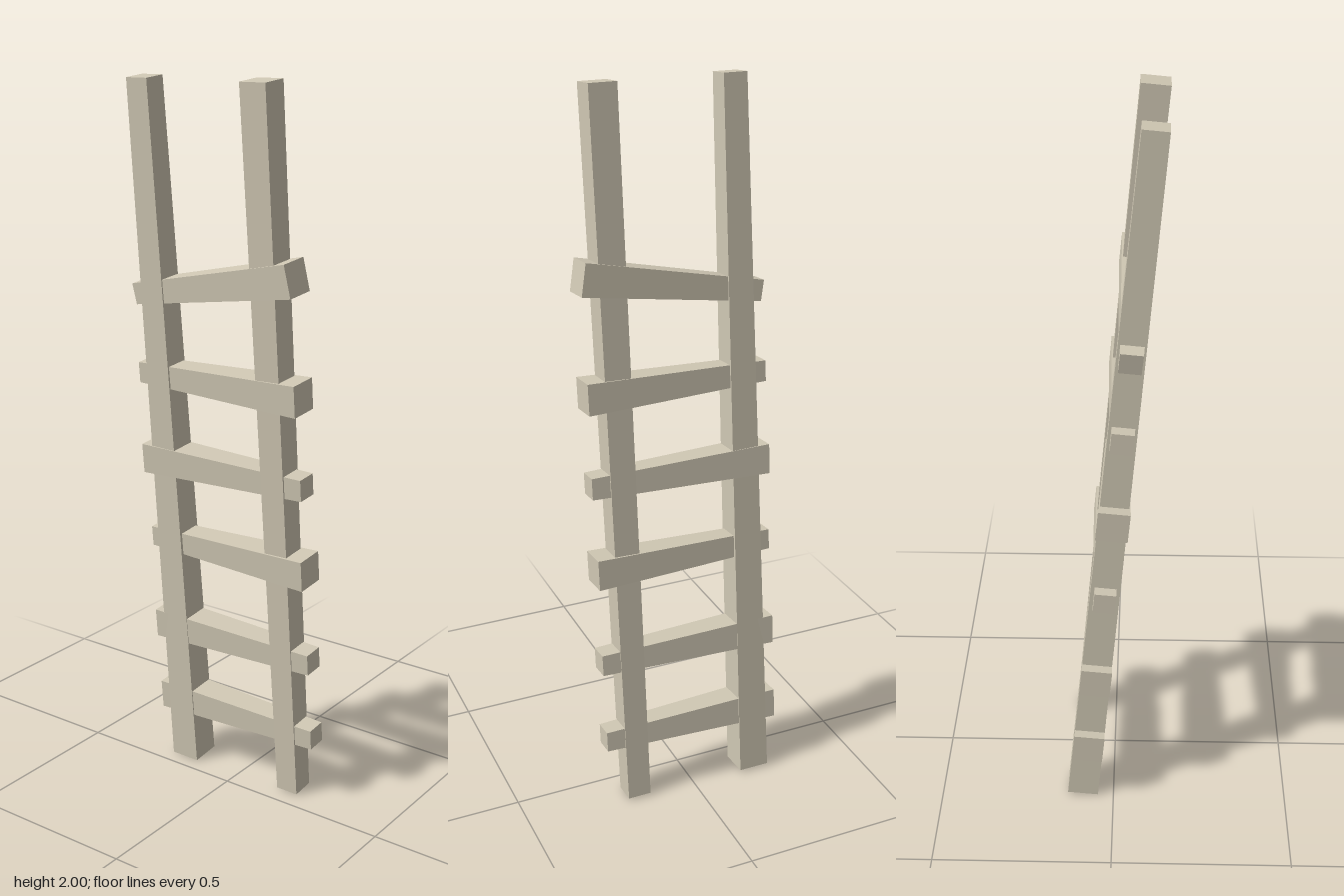
import * as THREE from 'three';

const wood = new THREE.MeshStandardMaterial({ color: 0xd0c8b4, flatShading: true });

// Centre line of the leaning ladder, and the normal of its plane
const leanX = (y) => 0.0895 - 0.0935 * y;
const normal = new THREE.Vector3(1, 0.0935, 0).normalize();

// Square beam between two points of the ladder plane, given as [y, z, thickness]
function beam(name, [y0, z0, s0], [y1, z1, s1]) {
  const a = new THREE.Vector3(leanX(y0), y0, z0);
  const b = new THREE.Vector3(leanX(y1), y1, z1);
  const dir = b.clone().sub(a);
  const length = dir.length();
  dir.normalize();

  // Taper the box from one end to the other
  const geo = new THREE.BoxGeometry(1, length, 1);
  const p = geo.attributes.position;
  for (let i = 0; i < p.count; i++) {
    const s = p.getY(i) < 0 ? s0 : s1;
    p.setX(i, p.getX(i) * s);
    p.setZ(i, p.getZ(i) * s);
  }
  const side = normal.clone().cross(dir);
  geo.applyMatrix4(new THREE.Matrix4().makeBasis(normal, dir, side));
  geo.computeVertexNormals();

  const mesh = new THREE.Mesh(geo, wood);
  mesh.name = name;
  mesh.position.copy(a).add(b).multiplyScalar(0.5);
  return mesh;
}

export function createModel() {
  const ladder = new THREE.Group();
  ladder.name = 'ladder';

  // Two side rails, tapering in opposite directions
  ladder.add(beam('frontRail', [0.004, 0.172, 0.067], [1.997, 0.172, 0.077]));
  ladder.add(beam('backRail', [0.004, -0.19, 0.088], [1.997, -0.19, 0.066]));

  // Rungs: height and thickness at the front end, then at the back end
  const rungs = [
    [0.199, 0.058, 0.199, 0.086],
    [0.438, 0.06, 0.438, 0.085],
    [0.713, 0.086, 0.713, 0.058],
    [0.957, 0.06, 0.957, 0.085],
    [1.206, 0.086, 1.206, 0.058],
    [1.52, 0.088, 1.428, 0.058], // the top rung has slipped askew
  ];
  rungs.forEach(([y0, s0, y1, s1], i) => {
    const askew = i === rungs.length - 1;
    const zFront = askew ? 0.253 : 0.259;
    const zBack = askew ? -0.256 : -0.261;
    ladder.add(beam(`rung${i + 1}`, [y0, zFront, s0], [y1, zBack, s1]));
  });

  return ladder;
}
